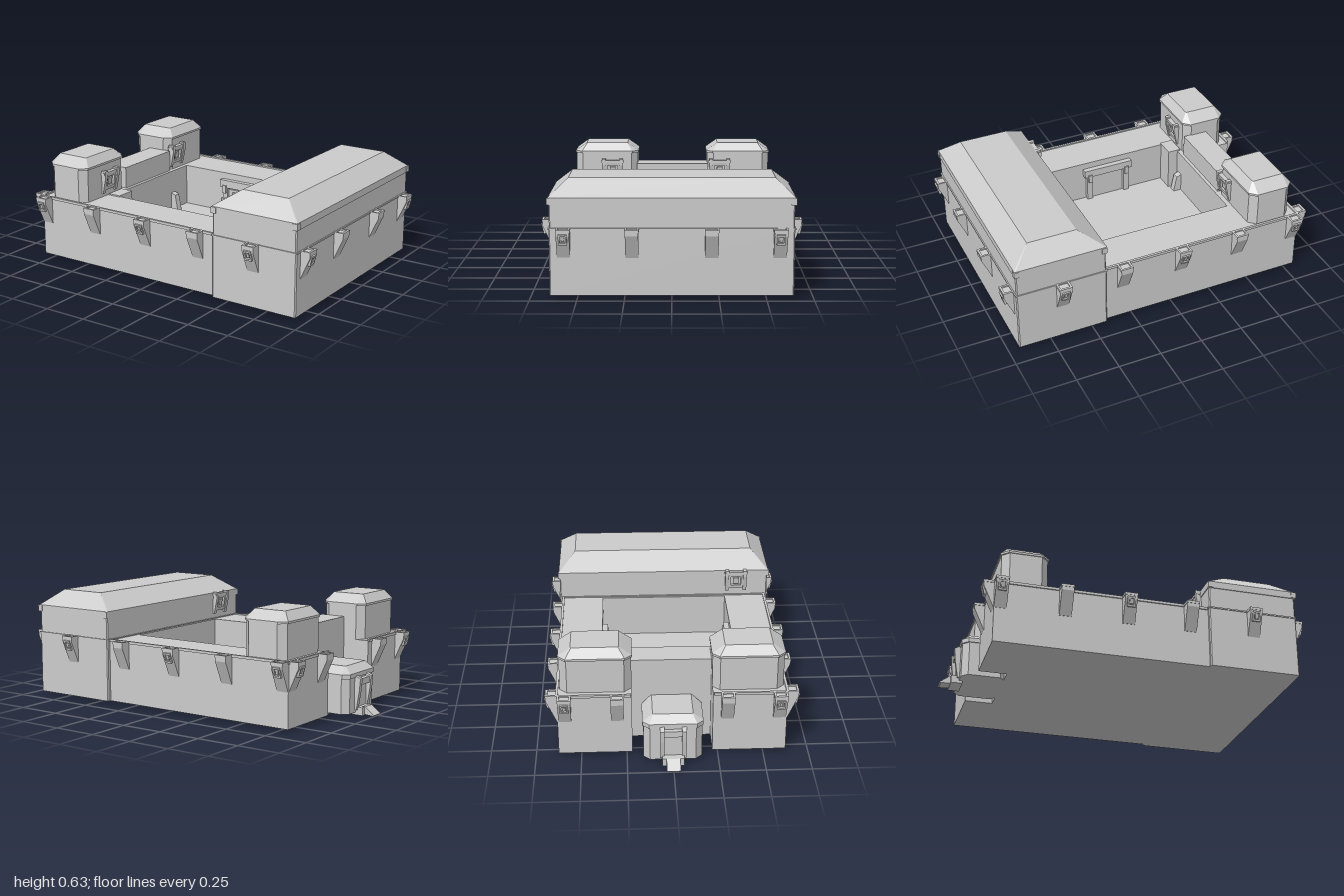
import * as THREE from 'three';

const mat = new THREE.MeshStandardMaterial({ color: 0xcccccc, flatShading: true });

function add(parent, geo, name, x = 0, y = 0, z = 0) {
  const m = new THREE.Mesh(geo, mat);
  m.name = name;
  m.position.set(x, y, z);
  parent.add(m);
  return m;
}

// Box given by its limits
function block(parent, name, x0, x1, y0, y1, z0, z1) {
  return add(parent, new THREE.BoxGeometry(x1 - x0, y1 - y0, z1 - z0), name,
    (x0 + x1) / 2, (y0 + y1) / 2, (z0 + z1) / 2);
}

// Rectangle with cut corners, counter-clockwise from above
function ring(y, x0, x1, z0, z1, c) {
  return [[x1 - c, z1], [x1, z1 - c], [x1, z0 + c], [x1 - c, z0],
    [x0 + c, z0], [x0, z0 + c], [x0, z1 - c], [x0 + c, z1]].map(([x, z]) => [x, y, z]);
}

// Closed solid through a stack of rings
function loft(rings) {
  const p = [], n = rings[0].length, top = rings[rings.length - 1], low = rings[0];
  for (let r = 0; r + 1 < rings.length; r++) {
    for (let i = 0; i < n; i++) {
      const j = (i + 1) % n, a = rings[r], b = rings[r + 1];
      p.push(...a[i], ...a[j], ...b[j], ...a[i], ...b[j], ...b[i]);
    }
  }
  for (let i = 1; i + 1 < n; i++) {
    p.push(...top[0], ...top[i], ...top[i + 1], ...low[0], ...low[i + 1], ...low[i]);
  }
  const g = new THREE.BufferGeometry();
  g.setAttribute('position', new THREE.Float32BufferAttribute(p, 3));
  g.computeVertexNormals();
  return g;
}

// Side profile (outward, up) swept across a width; outward is local +z
function profile(points, width) {
  const s = new THREE.Shape(points.map(([a, b]) => new THREE.Vector2(a, b)));
  const g = new THREE.ExtrudeGeometry(s, { depth: width, bevelEnabled: false });
  g.translate(0, 0, -width / 2);
  g.rotateY(-Math.PI / 2);
  return g;
}

// Framed opening with a dark gap around a small inner panel
function windowFrame(parent, w, h, d, name) {
  const s = new THREE.Shape([[-w, -h], [w, -h], [w, h], [-w, h]].map(([a, b]) => new THREE.Vector2(a / 2, b / 2)));
  const k = 0.62;
  s.holes.push(new THREE.Path([[-w, -h], [-w, h], [w, h], [w, -h]].map(([a, b]) => new THREE.Vector2(a / 2 * k, b / 2 * k))));
  const frame = add(parent, new THREE.ExtrudeGeometry(s, { depth: d, bevelEnabled: false }), name);
  add(frame, new THREE.BoxGeometry(w * 0.35, h * 0.4, d * 0.7), 'windowPanel', 0, 0, d * 0.35);
  return frame;
}

function corbel(parent, x, z, angle, hasWindow) {
  const g = new THREE.Group();
  g.name = 'corbel';
  g.position.set(x, 0, z);
  g.rotation.y = angle;
  add(g, profile([[-0.01, 0.215], [0, 0.215], [0.042, 0.31], [0.058, 0.345], [0.058, 0.372], [-0.01, 0.372]], 0.07), 'corbelBody');
  // raised lip around the platform
  block(g, 'corbelLip', -0.0375, 0.0375, 0.365, 0.38, 0.048, 0.06);
  for (const s of [-1, 1]) block(g, 'corbelLip', s * 0.032 - 0.0055, s * 0.032 + 0.0055, 0.365, 0.38, 0, 0.06);
  if (hasWindow) {
    const f = windowFrame(g, 0.046, 0.06, 0.012, 'corbelWindow');
    f.position.set(0, 0.328, 0.047);
    f.rotation.x = 0.25;
  }
  parent.add(g);
}

// Leaning bay window on an upper wall, outward is local +z
function bayWindow(parent, x, y, z, angle) {
  const g = new THREE.Group();
  g.name = 'bayWindow';
  g.position.set(x, y, z);
  g.rotation.y = angle;
  for (const s of [-1, 1]) {
    add(g, profile([[-0.01, -0.07], [0.008, -0.07], [0.03, 0.03], [0.03, 0.07], [-0.01, 0.07]], 0.022), 'bayPost', s * 0.055);
  }
  const f = windowFrame(g, 0.1, 0.1, 0.016, 'bayFrame');
  f.rotation.x = 0.12;
  block(g, 'bayHeader', -0.07, 0.07, 0.045, 0.06, -0.01, 0.026);
  parent.add(g);
}

export function createModel() {
  const root = new THREE.Group();
  root.name = 'fortress';
  const H = Math.PI / 2;

  // Curtain walls around the open courtyard, notched beside the gate
  const outline = new THREE.Shape([[0.42, -0.625], [0.42, 0.625], [-0.81, 0.625], [-0.81, 0.22],
    [-0.65, 0.22], [-0.65, -0.22], [-0.81, -0.22], [-0.81, -0.625]].map(([a, b]) => new THREE.Vector2(a, b)));
  outline.holes.push(new THREE.Path([[-0.48, -0.38], [0.395, -0.38], [0.395, 0.38], [-0.48, 0.38]].map(([a, b]) => new THREE.Vector2(a, b))));
  const walls = new THREE.ExtrudeGeometry(outline, { depth: 0.357, bevelEnabled: false });
  walls.rotateX(-H);
  add(root, walls, 'curtainWalls', 0, 0.015, 0);
  block(root, 'courtyardFloor', -0.5, 0.41, 0.015, 0.12, -0.4, 0.4);
  block(root, 'cornerStep', -0.5, -0.42, 0.12, 0.38, 0.27, 0.39);

  for (const s of [-1, 1]) {
    // Parapet rims
    block(root, 'sideParapet', -0.815, 0.42, 0.365, 0.38, s * 0.625 - 0.007, s * 0.625 + 0.007);
    block(root, 'endParapet', -0.817, -0.803, 0.365, 0.38, s * 0.425 - 0.2, s * 0.425 + 0.2);

    // Corbels along the long sides and the two ends
    [-0.775, -0.415, -0.055, 0.305].forEach((x, i) => corbel(root, x, s * 0.627, s > 0 ? 0 : Math.PI, i % 2 === 0));
    corbel(root, 0.675, s * 0.645, s > 0 ? 0 : Math.PI, true);
    corbel(root, 0.938, s * 0.57, H, true);
    corbel(root, 0.938, s * 0.21, H, false);
    corbel(root, -0.81, s * 0.585, -H, true);
    corbel(root, -0.81, s * 0.3, -H, false);

    // Turret with chamfered corners and hipped cap
    const z0 = s * 0.415 - 0.2, z1 = s * 0.415 + 0.2;
    add(root, loft([
      ring(0.36, -0.768, -0.507, z0 + 0.005, z1 - 0.005, 0.04),
      ring(0.568, -0.768, -0.507, z0 + 0.005, z1 - 0.005, 0.04),
      ring(0.568, -0.775, -0.5, z0, z1, 0.04),
      ring(0.58, -0.775, -0.5, z0, z1, 0.04),
      ring(0.63, -0.735, -0.54, z0 + 0.07, z1 - 0.07, 0.005)]), 'turret');

    // Courtyard doorway under a canopy
    const w = s * 0.38;
    block(root, 'doorCanopy', -0.2, 0.115, 0.285, 0.333, w - 0.032, w + 0.032);
    for (const x of [-0.165, 0.08]) {
      block(root, 'doorPost', x - 0.018, x + 0.018, 0.12, 0.29, w - 0.025, w + 0.025);
      block(root, 'canopyBracket', x - 0.012, x + 0.012, 0.25, 0.3, w - 0.04, w + 0.04);
    }
    block(root, 'doorLeaf', -0.15, 0.065, 0.12, 0.27, w - 0.008, w + 0.008);

    // Buttress beside the inner gate
    const b = add(root, profile([[-0.02, 0.12], [0.05, 0.12], [0.03, 0.22], [-0.02, 0.24]], 0.04), 'gateButtress', -0.48, 0, s * 0.23);
    b.rotation.y = H;
  }
  bayWindow(root, -0.507, 0.462, 0.38, H);
  bayWindow(root, -0.507, 0.462, -0.3, H);

  // Raised link between the turrets
  block(root, 'turretLink', -0.65, -0.5, 0.36, 0.5, -0.225, 0.225);

  // Great hall with a banded eave and hipped roof
  const hall = (y, d) => ring(y, 0.413 - d, 0.94 + d, -0.647 - d, 0.647 + d, 0.006);
  add(root, loft([hall(0.015, 0), hall(0.37, 0), hall(0.37, 0.005), hall(0.378, 0.005), hall(0.378, -0.002),
    hall(0.5, -0.002), hall(0.5, 0.003), hall(0.54, 0.003),
    ring(0.63, 0.545, 0.83, -0.548, 0.548, 0.001)]), 'greatHall');
  for (const x of [0.425, 0.932]) {
    for (const z of [-0.64, 0.64]) block(root, 'eaveCorner', x - 0.015, x + 0.015, 0.502, 0.538, z - 0.015, z + 0.015);
  }
  bayWindow(root, 0.413, 0.475, 0.45, -H);

  // Gatehouse
  const gate = (y, d) => ring(y, -0.893 - d, -0.64, -0.16 - d, 0.16 + d, 0.035);
  add(root, loft([gate(0.015, 0), gate(0.215, 0), gate(0.215, 0.006), gate(0.24, 0.006),
    ring(0.28, -0.855, -0.64, -0.11, 0.11, 0.004)]), 'gatehouse');

  // Gate surround and entry ramp, facing -x
  const entry = new THREE.Group();
  entry.name = 'gateEntry';
  entry.position.x = -0.893;
  entry.rotation.y = -H;
  for (const s of [-1, 1]) {
    add(entry, profile([[-0.01, 0.03], [0.012, 0.03], [0.03, 0.14], [0.036, 0.21], [-0.01, 0.23]], 0.025), 'gateJamb', s * 0.06);
  }
  block(entry, 'gateLintel', -0.05, 0.05, 0.17, 0.205, -0.01, 0.026);
  block(entry, 'gateDoor', -0.05, 0.05, 0.03, 0.17, -0.01, 0.006);
  block(entry, 'rampLanding', -0.06, 0.06, 0, 0.045, -0.02, 0.045);
  add(entry, profile([[0.03, 0.03], [0.03, 0.005], [0.1, 0], [0.107, 0.005], [0.05, 0.048], [0.03, 0.048]], 0.075), 'entryRamp');
  root.add(entry);

  return root;
}
